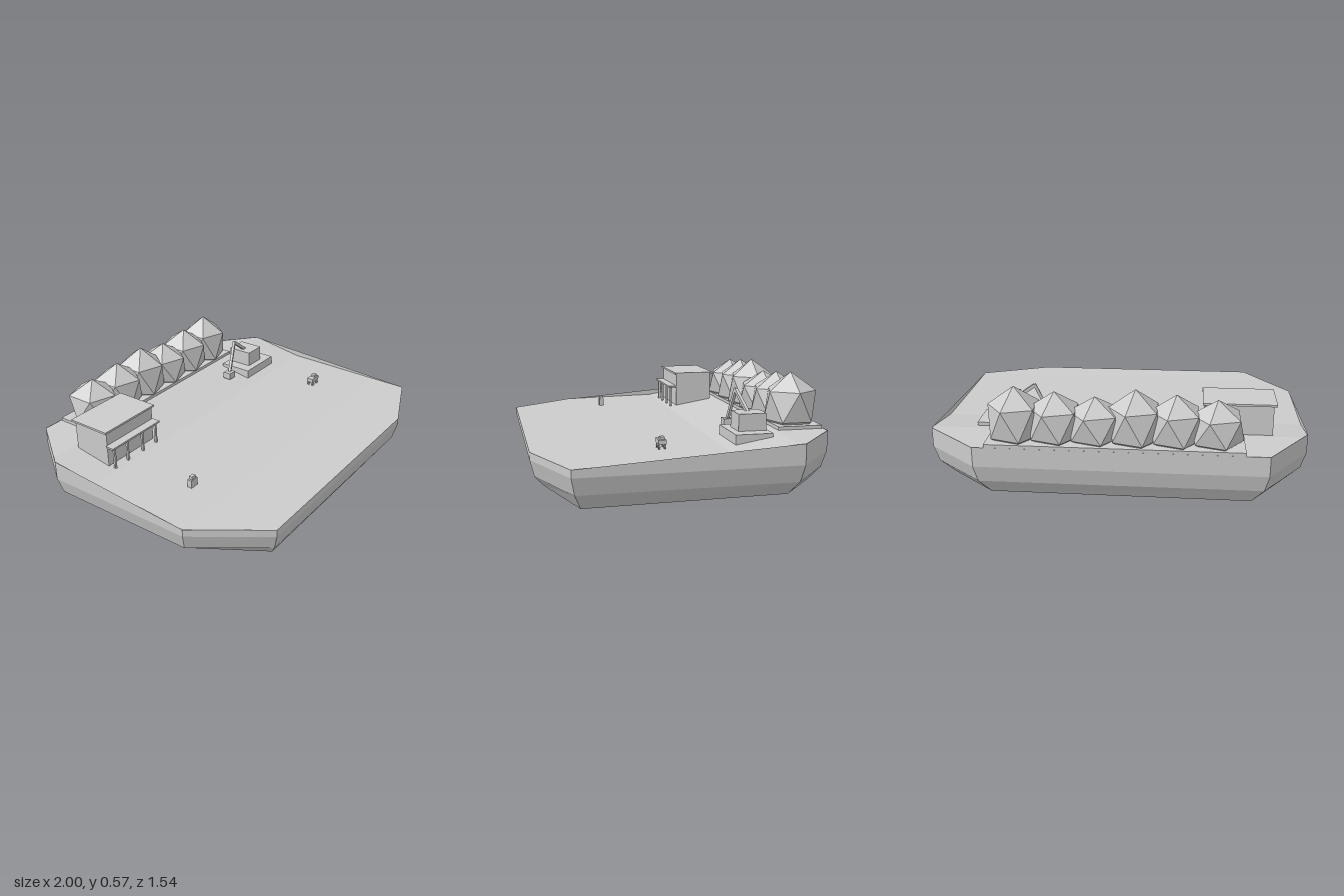
import * as THREE from 'three';

const grey = new THREE.MeshStandardMaterial({ color: 0xcccccc, flatShading: true, side: THREE.DoubleSide });

export function createModel() {
  const model = new THREE.Group();
  const add = (name, geo, parent = model) => {
    const mesh = new THREE.Mesh(geo, grey);
    mesh.name = name;
    parent.add(mesh);
    return mesh;
  };
  const group = (name) => {
    const g = new THREE.Group();
    g.name = name;
    model.add(g);
    return g;
  };
  // Box given by its limits on each axis
  const box = (name, x0, x1, y0, y1, z0, z1, parent) => {
    const m = add(name, new THREE.BoxGeometry(x1 - x0, y1 - y0, z1 - z0), parent);
    m.position.set((x0 + x1) / 2, (y0 + y1) / 2, (z0 + z1) / 2);
    return m;
  };
  // Square bar between two points
  const bar = (name, a, b, w, parent) => {
    const p = new THREE.Vector3(...a), q = new THREE.Vector3(...b);
    const m = add(name, new THREE.BoxGeometry(w, w, p.distanceTo(q)), parent);
    m.position.copy(p).lerp(q, 0.5);
    m.lookAt(q);
    return m;
  };
  const surface = (points, index) => {
    const g = new THREE.BufferGeometry();
    g.setAttribute('position', new THREE.Float32BufferAttribute(points.flat(), 3));
    g.setIndex(index);
    g.computeVertexNormals();
    return g;
  };

  // Hull: outline, then rings from keel to rim
  const outline = [[-0.78, -0.77], [0.72, -0.77], [1, -0.53], [1, 0.61], [0.6, 0.77], [-0.74, 0.77], [-1, 0.4], [-1, -0.46]];
  const keelY = [0.008, 0.012, 0.012, 0.003, 0.03, 0.012, 0.03, 0.02];
  const n = outline.length;
  const rings = [
    outline.map(([x, z], i) => [x * 0.9, keelY[i], z * 0.91]),
    outline.map(([x, z]) => [x * 0.975, 0.09, z * 0.97]),
    outline.map(([x, z]) => [x, 0.18, z]),
    outline.map(([x, z]) => [x, z < -0.4 ? 0.287 : 0.22, z]),
  ];
  const index = [];
  for (let i = 1; i < n - 1; i++) index.push(0, i, i + 1);
  for (let r = 0; r < rings.length - 1; r++) {
    for (let i = 0; i < n; i++) {
      const a = r * n + i, b = r * n + (i + 1) % n;
      index.push(a, a + n, b, b, a + n, b + n);
    }
  }
  add('hull', surface(rings.flat(), index));

  // Deck: cross-sections from stern to bow [z, left x, right x, y]
  const stations = [
    [-0.77, -0.78, 0.72, 0.285], [-0.53, -0.95, 1, 0.285], [-0.5, -0.97, 1, 0.285], [-0.46, -1, 1, 0.278],
    [-0.19, -1, 1, 0.233], [0.4, -1, 1, 0.222], [0.61, -0.852, 1, 0.22], [0.77, -0.74, 0.6, 0.22],
  ];
  const deckIndex = [];
  for (let j = 0; j < stations.length - 1; j++) {
    const l = j * 2;
    deckIndex.push(l, l + 2, l + 1, l + 1, l + 2, l + 3);
  }
  add('deck', surface(stations.flatMap(([z, l, r, y]) => [[l, y, z], [r, y, z]]), deckIndex));

  // Row of faceted tanks on a plinth
  const tanks = group('tanks');
  box('tankPlinth', -0.66, 0.66, 0.28, 0.303, -0.765, -0.52, tanks);
  const radius = 0.159;
  for (let i = 0; i < 6; i++) {
    const top = [0.53, 0.552, 0.575][i % 3];
    const geo = new THREE.IcosahedronGeometry(radius, 0);
    geo.rotateX(-Math.atan((1 + Math.sqrt(5)) / 2)).rotateY(Math.PI / 2);
    const stretch = (top - 0.315) / (1.447 * radius);
    geo.scale(0.97, stretch, 0.97);
    add('tank', geo, tanks).position.set(-0.517 + i * 0.2075, top - radius * stretch, -0.635);
  }

  // Deck house with roof, balcony and posts
  const house = group('deckHouse');
  box('houseWalls', -0.815, -0.455, 0.22, 0.445, -0.475, -0.25, house);
  box('roof', -0.83, -0.445, 0.445, 0.456, -0.49, -0.24, house);
  box('balcony', -0.825, -0.45, 0.36, 0.37, -0.25, -0.2, house);
  for (const x of [-0.8, -0.7, -0.58, -0.47]) box('post', x - 0.006, x + 0.006, 0.23, 0.36, -0.222, -0.21, house);

  // Excavator with folded arm
  const digger = group('excavator');
  box('chassis', 0.49, 0.77, 0.235, 0.295, -0.45, -0.25, digger);
  box('cab', 0.56, 0.69, 0.295, 0.385, -0.44, -0.29, digger);
  bar('boom', [0.61, 0.38, -0.365], [0.47, 0.48, -0.345], 0.018, digger);
  bar('arm', [0.47, 0.485, -0.345], [0.39, 0.3, -0.325], 0.016, digger);
  box('bucket', 0.36, 0.415, 0.27, 0.31, -0.35, -0.3, digger);

  // Small wheeled cart
  const cart = group('cart');
  box('cartBody', 0.655, 0.73, 0.255, 0.278, 0.1, 0.14, cart);
  box('cartTop', 0.69, 0.72, 0.278, 0.292, 0.108, 0.132, cart);
  for (const x of [0.67, 0.715]) {
    for (const z of [0.105, 0.135]) {
      const wheel = add('wheel', new THREE.CylinderGeometry(0.012, 0.012, 0.008, 8), cart);
      wheel.rotation.x = Math.PI / 2;
      wheel.position.set(x, 0.24, z);
    }
  }

  // Locker on the deck
  box('locker', -0.705, -0.655, 0.22, 0.27, 0.198, 0.225);
  box('lockerTop', -0.695, -0.665, 0.27, 0.287, 0.202, 0.221);

  return model;
}
